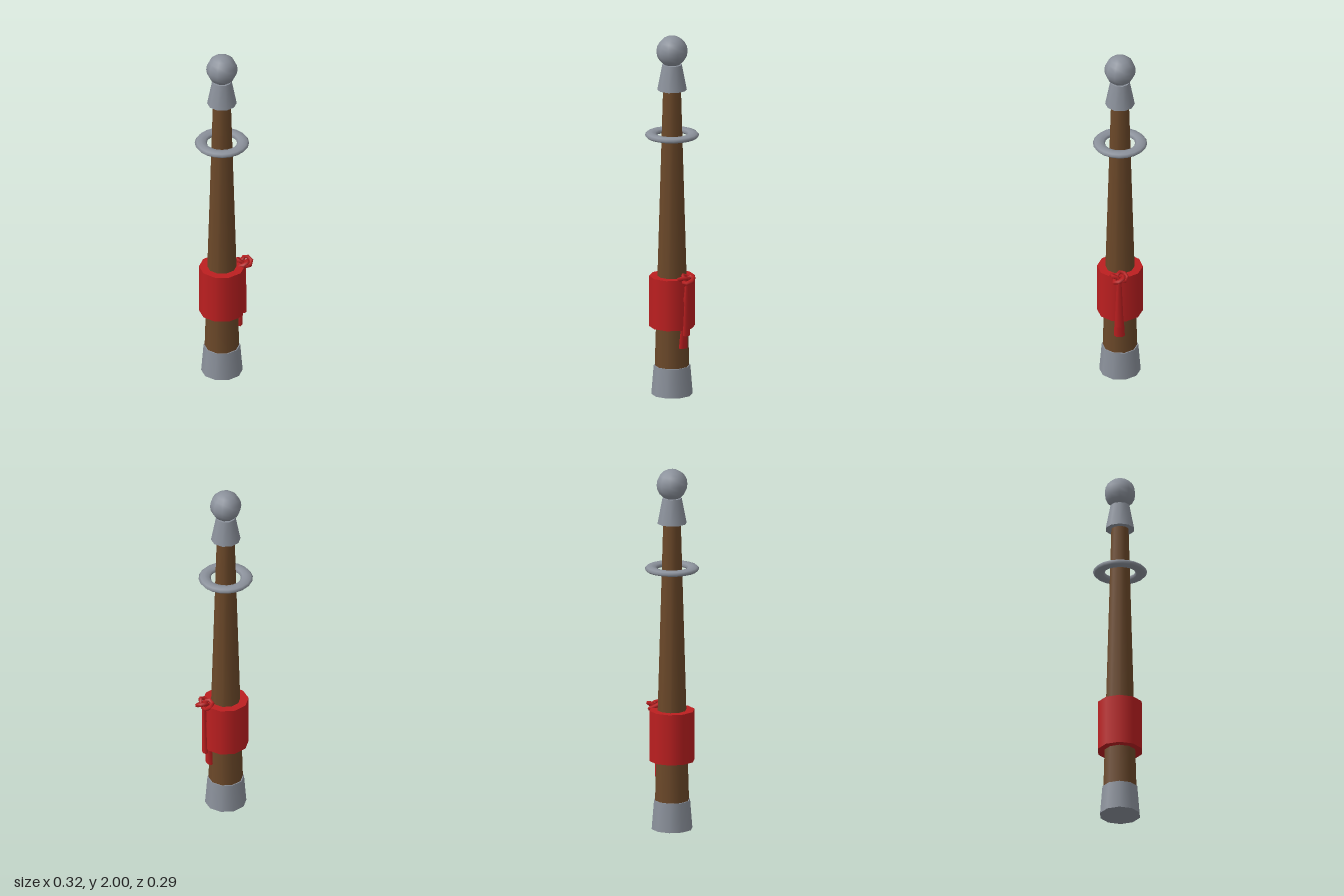
import * as THREE from 'three';

export function createModel() {
  const model = new THREE.Group();
  model.name = 'ceremonialPole';
  const metal = new THREE.MeshStandardMaterial({ color: 0x8b919b });
  const wood = new THREE.MeshStandardMaterial({ color: 0x6b4829 });
  const cloth = new THREE.MeshStandardMaterial({ color: 0xbc1f20 });
  metal.name = 'greyMetal';
  wood.name = 'brownWood';
  cloth.name = 'redCloth';

  const AXIS = -0.015; // pole axis in x, leaving room for the knot
  const SIDES = 10;

  function add(name, geometry, material, x, y, z = 0) {
    const mesh = new THREE.Mesh(geometry, material);
    mesh.name = name;
    mesh.position.set(x, y, z);
    model.add(mesh);
    return mesh;
  }

  // Upright tapered section between two heights
  function section(name, material, y0, y1, r0, r1) {
    add(name, new THREE.CylinderGeometry(r1, r0, y1 - y0, SIDES), material, AXIS, (y0 + y1) / 2);
  }

  section('footCap', metal, 0, 0.16, 0.112, 0.099);
  section('shaft', wood, 0.1, 1.72, 0.095, 0.048);
  section('clothWrap', cloth, 0.38, 0.66, 0.124, 0.124);
  section('topCollar', metal, 1.7, 1.84, 0.08, 0.053);

  // Ball finial
  add('finialBall', new THREE.SphereGeometry(0.085, SIDES, 10).rotateY(Math.PI / 2), metal, AXIS, 1.915);

  // Flattened ring around the shaft
  const ring = new THREE.TorusGeometry(0.114, 0.033, 8, 20).rotateX(Math.PI / 2).scale(1, 0.5, 1);
  add('ring', ring, metal, AXIS, 1.447);

  // Knot on the side of the wrap
  const knot = new THREE.TorusKnotGeometry(0.03, 0.012, 20, 5).rotateX(Math.PI / 2);
  add('knot', knot, cloth, 0.108, 0.663);

  // Hanging cloth tails, flattened against the pole
  function tail(name, top, bottom, rTop, rBottom) {
    const a = new THREE.Vector2(...top);
    const b = new THREE.Vector2(...bottom);
    const d = a.clone().sub(b);
    const geometry = new THREE.CylinderGeometry(rTop, rBottom, d.length(), 6).scale(0.65, 1, 1);
    const mesh = add(name, geometry, cloth, (a.x + b.x) / 2, (a.y + b.y) / 2);
    mesh.rotation.z = -Math.atan2(d.x, d.y);
  }
  tail('outerTail', [0.114, 0.66], [0.106, 0.35], 0.012, 0.025);
  tail('innerTail', [0.108, 0.62], [0.079, 0.275], 0.013, 0.03);

  return model;
}
